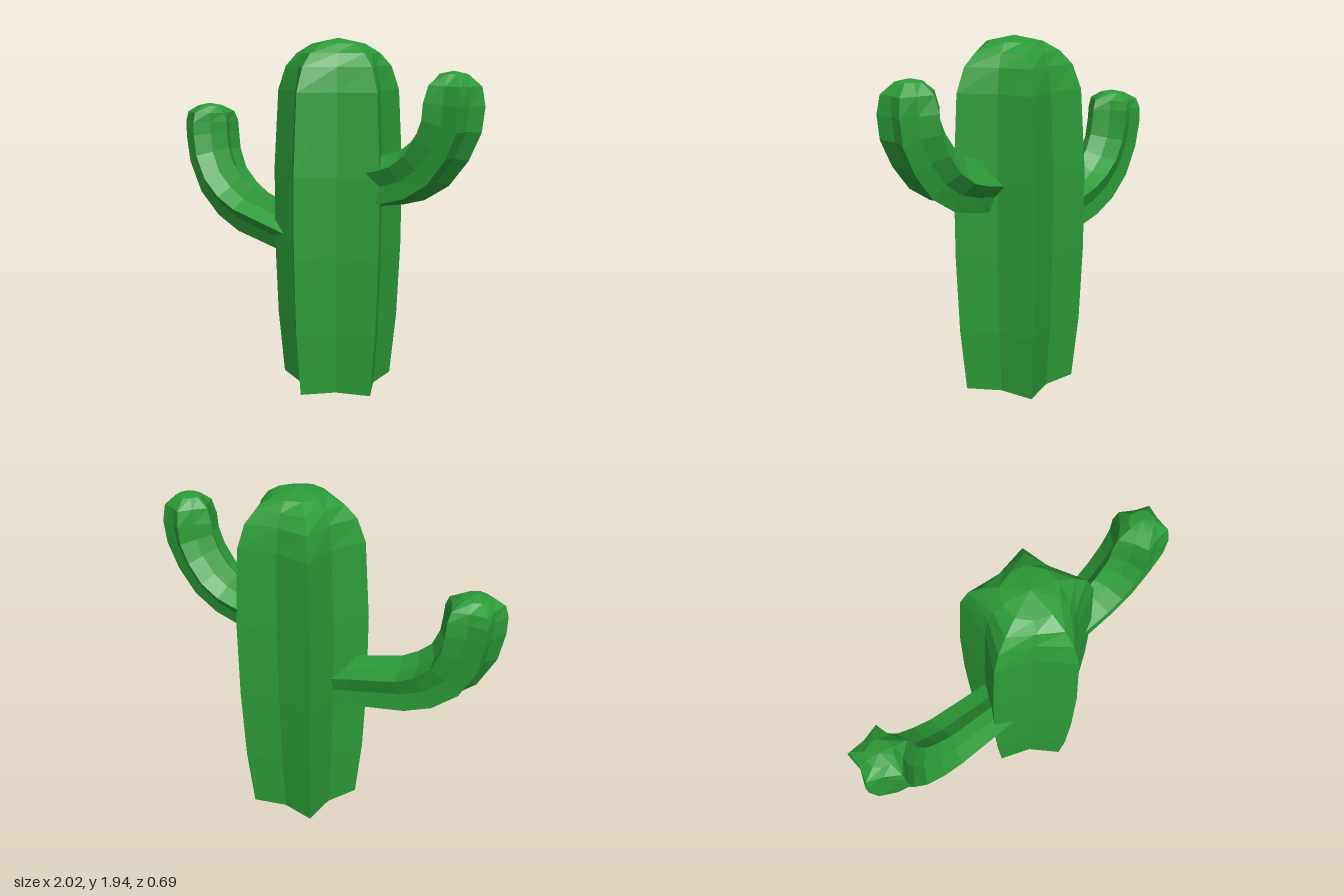
import * as THREE from 'three';

const RIBS = 5;
const INNER = 0.68; // groove radius relative to rib radius

const green = new THREE.MeshStandardMaterial({ color: 0x2c9c38, flatShading: true });

// Sweeps a five-ribbed star along rings [x, y, z, ribRadius, grooveRatio].
// `side` is the fixed sideways axis of every section, `twist` turns the star.
function ribbedStem(name, rings, side, twist = 0) {
  const n = RIBS * 2;
  const centers = rings.map(([x, y, z]) => new THREE.Vector3(x, y, z));
  const sections = rings.map(([, , , radius, groove = INNER], i) => {
    const tangent = centers[Math.min(i + 1, rings.length - 1)].clone()
      .sub(centers[Math.max(i - 1, 0)]).normalize();
    const normal = side.clone().cross(tangent).normalize();
    return Array.from({ length: n }, (_, k) => {
      const a = twist + (k / n) * Math.PI * 2;
      const r = k % 2 ? radius * groove : radius;
      return centers[i].clone()
        .addScaledVector(normal, r * Math.cos(a))
        .addScaledVector(side, r * Math.sin(a));
    });
  });

  const points = [];
  const last = sections.length - 1;
  for (let k = 0; k < n; k++) {
    const m = (k + 1) % n;
    points.push(centers[0], sections[0][m], sections[0][k]); // base cap
    for (let i = 0; i < last; i++) {
      const a = sections[i], b = sections[i + 1];
      points.push(a[k], a[m], b[m]);
      if (i < last) points.push(a[k], b[m], b[k]);
    }
  }
  const geometry = new THREE.BufferGeometry().setFromPoints(points);
  geometry.computeVertexNormals();
  const mesh = new THREE.Mesh(geometry, green);
  mesh.name = name;
  return mesh;
}

export function createModel() {
  const group = new THREE.Group();
  group.name = 'cactus';

  // Trunk: [height, rib radius, groove ratio], closing to a shallow round cap
  const trunk = [
    [0, 0.326], [0.36, 0.363], [0.78, 0.38], [1.22, 0.381], [1.66, 0.354],
    [1.79, 0.307, 0.72], [1.86, 0.24, 0.8], [1.91, 0.15, 0.96], [1.94, 0],
  ].map(([y, r, g]) => [0.13, y, -0.04, r, g]);
  group.add(ribbedStem('trunk', trunk, new THREE.Vector3(1, 0, 0)));

  // Lower, longer arm
  group.add(ribbedStem('rightArm', [
    [0, 0.80, -0.02, 0.14], [-0.23, 0.86, -0.02, 0.147], [-0.52, 0.93, -0.025, 0.158],
    [-0.65, 0.995, -0.03, 0.165], [-0.765, 1.095, -0.035, 0.168], [-0.835, 1.235, -0.04, 0.172],
    [-0.857, 1.36, -0.045, 0.173], [-0.86, 1.44, -0.045, 0.17], [-0.86, 1.495, -0.04, 0.15, 0.75],
    [-0.86, 1.535, -0.035, 0.075, 0.96], [-0.86, 1.55, -0.035, 0],
  ], new THREE.Vector3(0, 0, -1), -0.22));

  // Higher, shorter arm
  group.add(ribbedStem('leftArm', [
    [0.28, 1.15, -0.02, 0.14], [0.5, 1.195, -0.02, 0.147], [0.61, 1.23, -0.015, 0.152],
    [0.715, 1.3, -0.01, 0.158], [0.80, 1.41, -0.005, 0.16], [0.85, 1.52, 0, 0.163],
    [0.86, 1.62, 0, 0.163], [0.865, 1.71, 0, 0.14, 0.75],
    [0.865, 1.765, 0, 0.07, 0.96], [0.865, 1.78, 0, 0],
  ], new THREE.Vector3(0, 0, 1), -0.18));

  return group;
}
